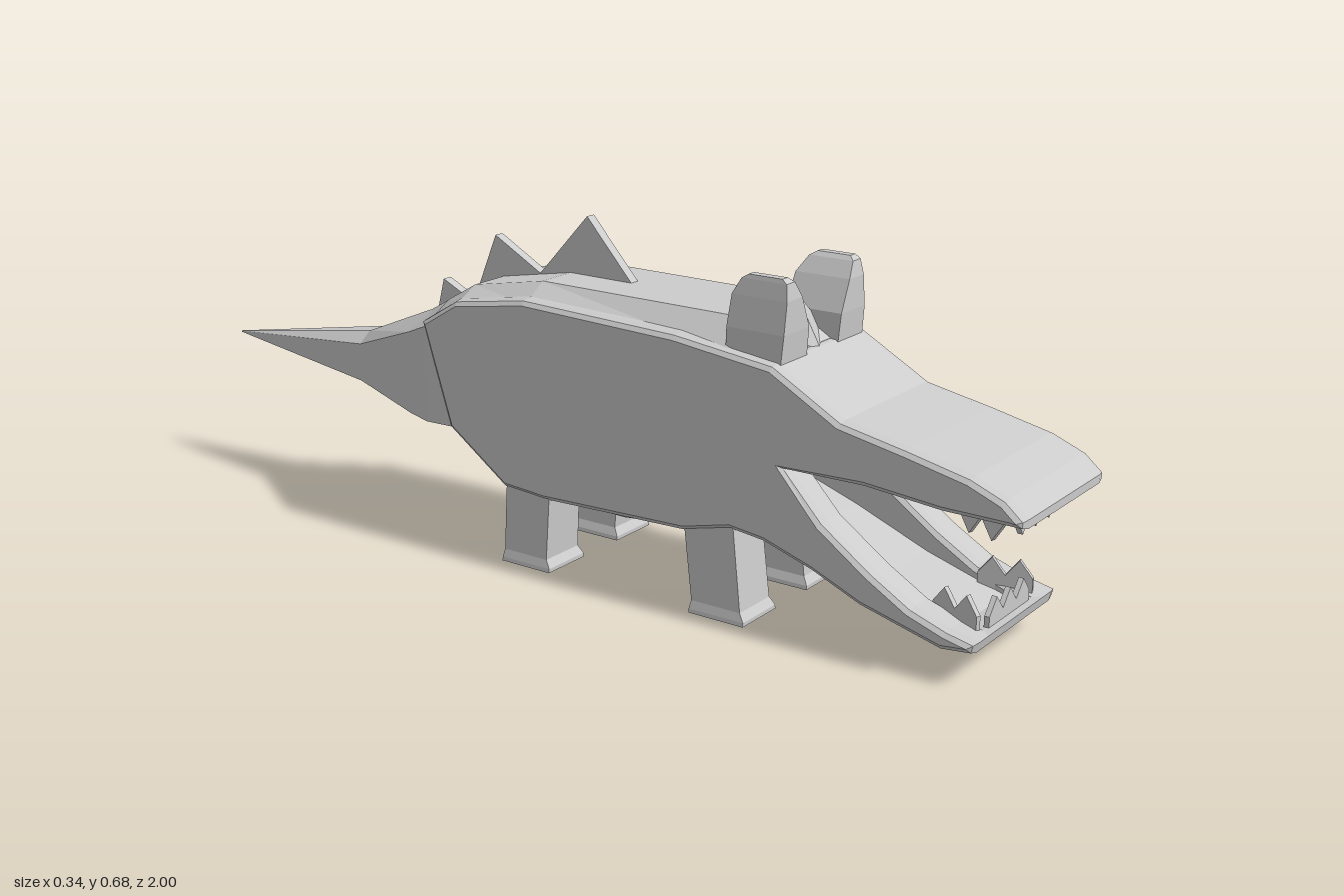
import * as THREE from 'three';

const grey = new THREE.MeshStandardMaterial({ color: 0xcccccc, flatShading: true });

function add(parent, name, geometry) {
  const mesh = new THREE.Mesh(geometry, grey);
  mesh.name = name;
  parent.add(mesh);
  return mesh;
}

// Side outline given as [z, y], extruded across x and centred on x = cx
function sideSlab(points, width, cx, bevel = 0) {
  const shape = new THREE.Shape(points.map(([z, y]) => new THREE.Vector2(z, y)));
  const bt = bevel * 2;
  const depth = width - 2 * bt;
  const g = new THREE.ExtrudeGeometry(shape, {
    depth, bevelEnabled: bevel > 0, bevelThickness: bt, bevelSize: bevel,
    bevelOffset: -bevel, bevelSegments: 2,
  });
  g.translate(0, 0, -depth / 2);
  g.rotateY(-Math.PI / 2);
  return g.translate(cx, 0, 0);
}

// Skin over equal-length rings, counter-clockwise seen from the last ring's end
function loft(rings) {
  const n = rings[0].length, index = [];
  for (let i = 0; i < rings.length - 1; i++) {
    for (let j = 0; j < n; j++) {
      const k = (j + 1) % n, a = i * n + j, b = i * n + k;
      index.push(a, b, b + n, a, b + n, a + n);
    }
  }
  const last = (rings.length - 1) * n;
  for (let j = 1; j < n - 1; j++) {
    index.push(0, j + 1, j, last, last + j, last + j + 1);
  }
  const g = new THREE.BufferGeometry();
  g.setAttribute('position', new THREE.Float32BufferAttribute(rings.flat(2), 3));
  g.setIndex(index);
  g.computeVertexNormals();
  return g;
}

// Horizontal rectangle at height y
const rect = (y, cx, hw, z0, z1) => [
  [cx - hw, y, z1], [cx + hw, y, z1], [cx + hw, y, z0], [cx - hw, y, z0],
];

// Six-sided upright section at depth z
const section = (z, w, wTop, bottom, shoulder, top) => [
  [-w, bottom, z], [-w, shoulder, z], [-wTop, top, z],
  [wTop, top, z], [w, shoulder, z], [w, bottom, z],
];

// Row of pointed teeth, standing up along x
function toothRow(count, pitch, height) {
  const s = new THREE.Shape();
  const half = count * pitch / 2;
  s.moveTo(-half, -0.02);
  s.lineTo(half, -0.02);
  for (let i = count; i > 0; i--) {
    s.lineTo(-half + i * pitch, 0.01);
    s.lineTo(-half + (i - 0.5) * pitch, height);
  }
  s.lineTo(-half, 0.01);
  return new THREE.ExtrudeGeometry(s, { depth: 0.01, bevelEnabled: false }).translate(0, 0, -0.005);
}

export function createModel() {
  const model = new THREE.Group();
  model.name = 'crocodile';

  // Outline shared by cheeks and core: rump to snout, and underside
  const upper = [
    [-0.24, 0.25], [-0.31, 0.46], [-0.22, 0.515], [-0.05, 0.542], [0.3, 0.53],
    [0.51, 0.505], [0.65, 0.427], [0.78, 0.402], [0.9, 0.376], [0.965, 0.35],
    [1, 0.32], [1, 0.304],
  ];
  const lower = [
    [0.925, 0.082], [0.92, 0.062], [0.86, 0.056], [0.7, 0.098], [0.6, 0.14],
    [0.5, 0.172], [0.43, 0.18], [0.33, 0.155], [0, 0.145], [-0.1, 0.152],
  ];
  const mouthEdge = [
    [0.85, 0.305], [0.7, 0.318], [0.54, 0.318], [0.62, 0.235], [0.72, 0.165], [0.8, 0.118], [0.87, 0.094],
  ];
  const mouthInside = [
    [0.96, 0.315], [0.85, 0.343], [0.65, 0.36], [0.44, 0.39], [0.42, 0.23],
    [0.55, 0.185], [0.7, 0.125], [0.86, 0.076], [0.905, 0.082],
  ];

  // Body: hollow-mouthed core between two bevelled cheeks
  add(model, 'bodyCore', sideSlab([...upper, ...mouthInside, ...lower], 0.26, 0));
  for (const s of [1, -1]) {
    add(model, s > 0 ? 'leftCheek' : 'rightCheek',
      sideSlab([...upper, ...mouthEdge, ...lower], 0.08, s * 0.128, 0.012));
  }

  // Raised back
  add(model, 'back', loft([
    section(0.5, 0.145, 0.1, 0.4, 0.485, 0.507),
    section(0.4, 0.155, 0.1, 0.4, 0.51, 0.564),
    section(-0.05, 0.155, 0.1, 0.4, 0.53, 0.566),
    section(-0.22, 0.155, 0.1, 0.4, 0.508, 0.535),
    section(-0.3, 0.155, 0.09, 0.4, 0.455, 0.49),
  ]));

  // Shallow belly
  add(model, 'belly', loft([
    section(0.36, 0.12, 0.12, 0.155, 0.2, 0.22),
    section(0.16, 0.12, 0.12, 0.134, 0.2, 0.22),
    section(-0.08, 0.12, 0.12, 0.142, 0.2, 0.22),
  ]));

  // Tail
  add(model, 'tail', loft([
    section(-0.22, 0.155, 0.09, 0.25, 0.46, 0.525),
    section(-0.3, 0.164, 0.085, 0.252, 0.45, 0.49),
    section(-0.36, 0.145, 0.07, 0.254, 0.425, 0.458),
    section(-0.58, 0.056, 0.025, 0.264, 0.345, 0.368),
    section(-1, 0.001, 0.0005, 0.294, 0.296, 0.297),
  ]));

  // Legs with slightly flared feet
  for (const s of [1, -1]) {
    const side = s > 0 ? 'Left' : 'Right';
    for (const [name, z0, z1, lean] of [['front', 0.345, 0.465, -0.025], ['back', -0.102, 0.015, 0.01]]) {
      add(model, name + side + 'Leg', loft([
        rect(0, s * 0.113, 0.057, z0, z1),
        rect(0.008, s * 0.113, 0.056, z0, z1),
        rect(0.024, s * 0.114, 0.051, z0 + 0.003, z1 - 0.01),
        rect(0.23, s * 0.114, 0.048, z0 + lean, z1 - 0.01 + lean),
      ]));
    }

    // Ears
    add(model, s > 0 ? 'leftEar' : 'rightEar', loft([
      rect(0.49, s * 0.1, 0.045, 0.4, 0.515),
      rect(0.555, s * 0.1, 0.043, 0.4, 0.52),
      rect(0.615, s * 0.109, 0.026, 0.405, 0.52),
      rect(0.645, s * 0.116, 0.014, 0.422, 0.515),
      rect(0.653, s * 0.119, 0.009, 0.435, 0.505),
    ]));
  }

  // Pointed crest between the ears
  const crest = add(model, 'crest', new THREE.ConeGeometry(1, 0.11, 4));
  crest.scale.set(0.13, 1, 0.062);
  crest.position.set(0, 0.546, 0.455);

  // Back spikes
  const spikes = [
    [[0.11, 0.55], [-0.01, 0.683], [-0.13, 0.55]],
    [[-0.1, 0.54], [-0.24, 0.617], [-0.3, 0.47]],
    [[-0.28, 0.46], [-0.38, 0.507], [-0.402, 0.42]],
  ];
  spikes.forEach((p, i) => add(model, 'backSpike' + (i + 1), sideSlab(p, 0.022, 0)));

  // Teeth: a front row and two side rows in each jaw
  for (const [jaw, y, z, tip, dir] of [['upper', 0.3, 0.945, 0.045, -1], ['lower', 0.092, 0.905, 0.04, 1]]) {
    const teeth = new THREE.Group();
    teeth.name = jaw + 'Teeth';
    teeth.position.set(0, y, z);
    teeth.scale.y = dir;
    model.add(teeth);
    add(teeth, 'frontTeeth', toothRow(3, 0.053, tip));
    for (const s of [1, -1]) {
      const row = add(teeth, s > 0 ? 'leftTeeth' : 'rightTeeth', toothRow(2, 0.05, tip + 0.002));
      row.rotation.set(0, Math.PI / 2 + s * 0.25, 0);
      row.position.set(s * 0.097, dir > 0 ? 0.01 : 0, -0.05);
    }
  }
  return model;
}
